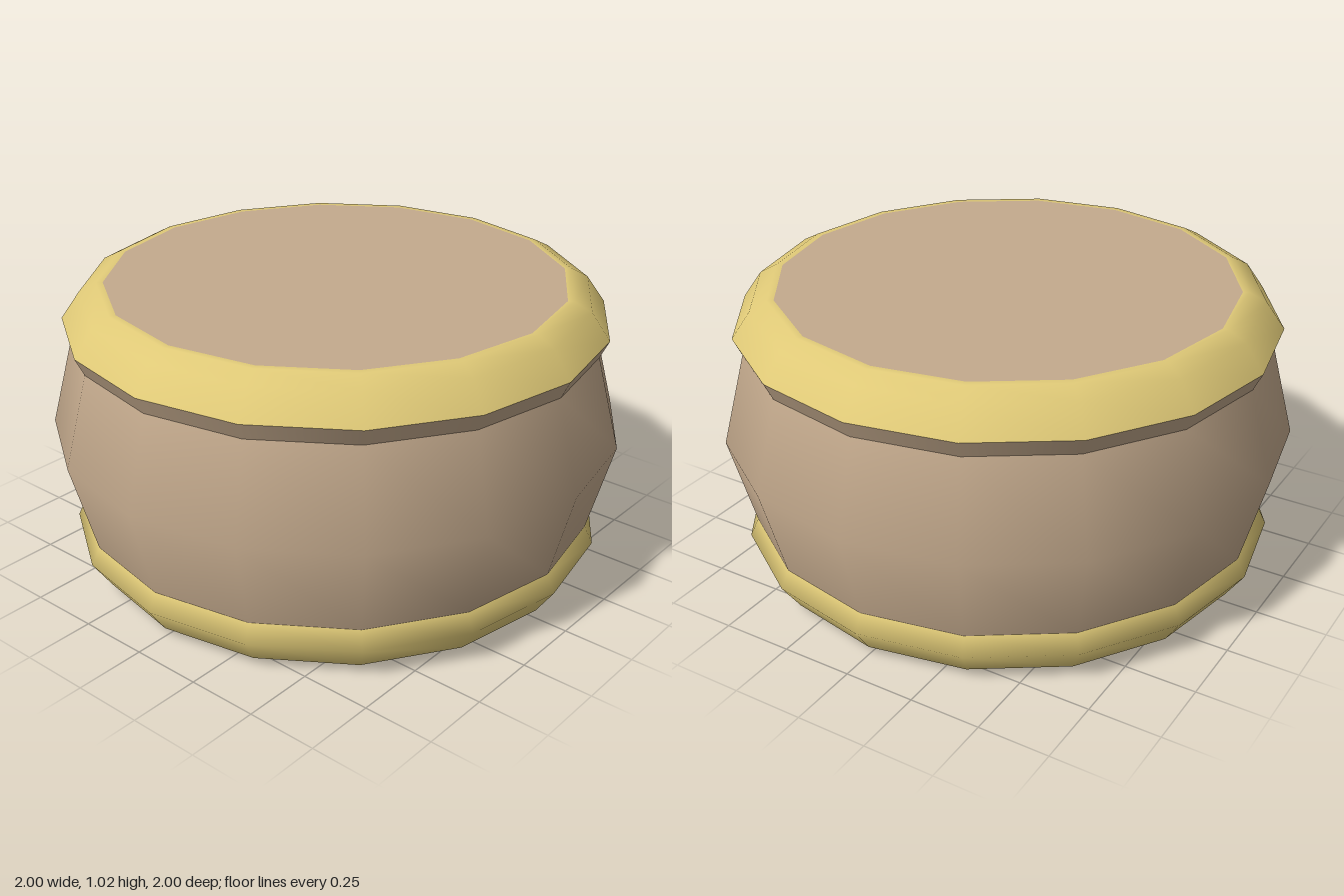
import * as THREE from 'three';

const SIDES = 16;

export function createModel() {
  const model = new THREE.Group();
  model.name = 'drum';

  const tan = new THREE.MeshStandardMaterial({ color: 0xc4aa8d });
  tan.name = 'tan';
  const gold = new THREE.MeshStandardMaterial({ color: 0xdfc977 });
  gold.name = 'gold';

  // Revolves a [radius, height] profile, listed from bottom to top
  function ring(name, material, profile) {
    const points = profile.map(([r, y]) => new THREE.Vector2(r, y));
    const mesh = new THREE.Mesh(new THREE.LatheGeometry(points, SIDES), material);
    mesh.name = name;
    model.add(mesh);
  }

  // Underside with its chamfered edge
  ring('base', tan, [[0, 0], [0.82, 0]]);
  ring('baseChamfer', tan, [[0.82, 0], [0.88, 0.03]]);

  // Lower rim
  ring('lowerRim', gold, [[0.88, 0.03], [0.945, 0.125], [0.915, 0.188]]);

  // Bulging wall, and the lip that flares out under the upper rim
  ring('wall', tan, [[0.915, 0.188], [1, 0.51], [0.915, 0.835]]);
  ring('upperLip', tan, [[0.915, 0.835], [0.945, 0.897]]);

  // Upper rim and flat top
  ring('upperRim', gold, [[0.945, 0.897], [0.88, 0.99], [0.82, 1.022], [0.797, 1.022]]);
  ring('topFace', tan, [[0.797, 1.022], [0, 1.022]]);

  return model;
}
